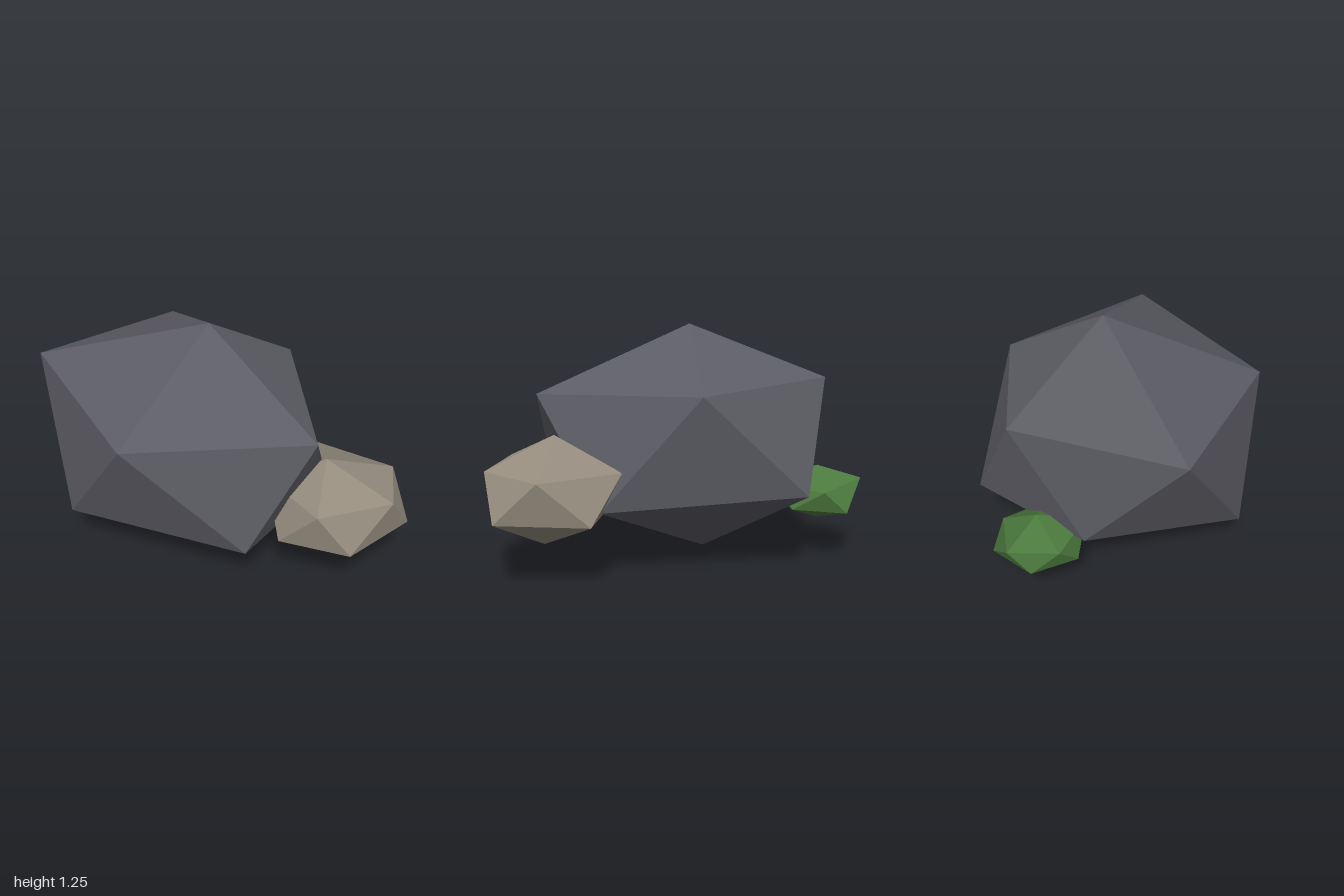
import * as THREE from 'three';

// Faceted stone: top point, five upper and five lower ring points, bottom point.
// lower[i] sits between upper[i] and upper[i + 1], counterclockwise from above.
function stone(name, material, top, upper, lower, bottom) {
  const positions = [];
  const face = (...corners) => corners.forEach((p) => positions.push(...p));
  for (let i = 0; i < 5; i++) {
    const j = (i + 1) % 5;
    face(top, upper[i], upper[j]);
    face(upper[i], lower[i], upper[j]);
    face(lower[i], lower[j], upper[j]);
    face(bottom, lower[j], lower[i]);
  }
  const geometry = new THREE.BufferGeometry();
  geometry.setAttribute('position', new THREE.Float32BufferAttribute(positions, 3));
  geometry.computeVertexNormals();
  const mesh = new THREE.Mesh(geometry, material);
  mesh.name = name;
  return mesh;
}

function paint(name, color) {
  const material = new THREE.MeshStandardMaterial({ color, flatShading: true });
  material.name = name;
  return material;
}

export function createModel() {
  const group = new THREE.Group();
  group.name = 'rockCluster';

  // Large dark boulder
  group.add(stone('boulder', paint('slateGrey', 0x5c5c64),
    [-0.13, 1.25, -0.105],
    [[-0.92, 0.99, 0.41], [0, 0.895, 0.695], [0.68, 0.9, -0.01], [0.01, 0.93, -0.635], [-0.75, 0.98, -0.46]],
    [[-0.46, 0.275, 0.655], [0.5, 0.3, 0.31], [0.47, 0.35, -0.43], [-0.54, 0.41, -0.7], [-0.85, 0.4, -0.09]],
    [-0.25, 0, -0.025]));

  // Small pale stone
  group.add(stone('paleStone', paint('sandGrey', 0x958c7e),
    [0.63, 0.71, -0.17],
    [[0.79, 0.57, 0.11], [1, 0.565, -0.25], [0.81, 0.55, -0.54], [0.36, 0.55, -0.45], [0.38, 0.55, 0]],
    [[0.94, 0.345, 0.01], [1, 0.34, -0.43], [0.56, 0.325, -0.585], [0.34, 0.33, -0.2], [0.59, 0.34, 0.155]],
    [0.69, 0.145, -0.17]));

  // Moss clump
  group.add(stone('mossClump', paint('mossGreen', 0x4c7a3e),
    [-0.79, 0.485, -0.34],
    [[-0.96, 0.41, -0.19], [-0.7, 0.41, -0.11], [-0.56, 0.38, -0.31], [-0.73, 0.375, -0.53], [-1, 0.42, -0.44]],
    [[-0.87, 0.29, -0.12], [-0.62, 0.28, -0.18], [-0.6, 0.27, -0.42], [-0.85, 0.26, -0.56], [-1, 0.29, -0.33]],
    [-0.78, 0.2, -0.35]));

  return group;
}
